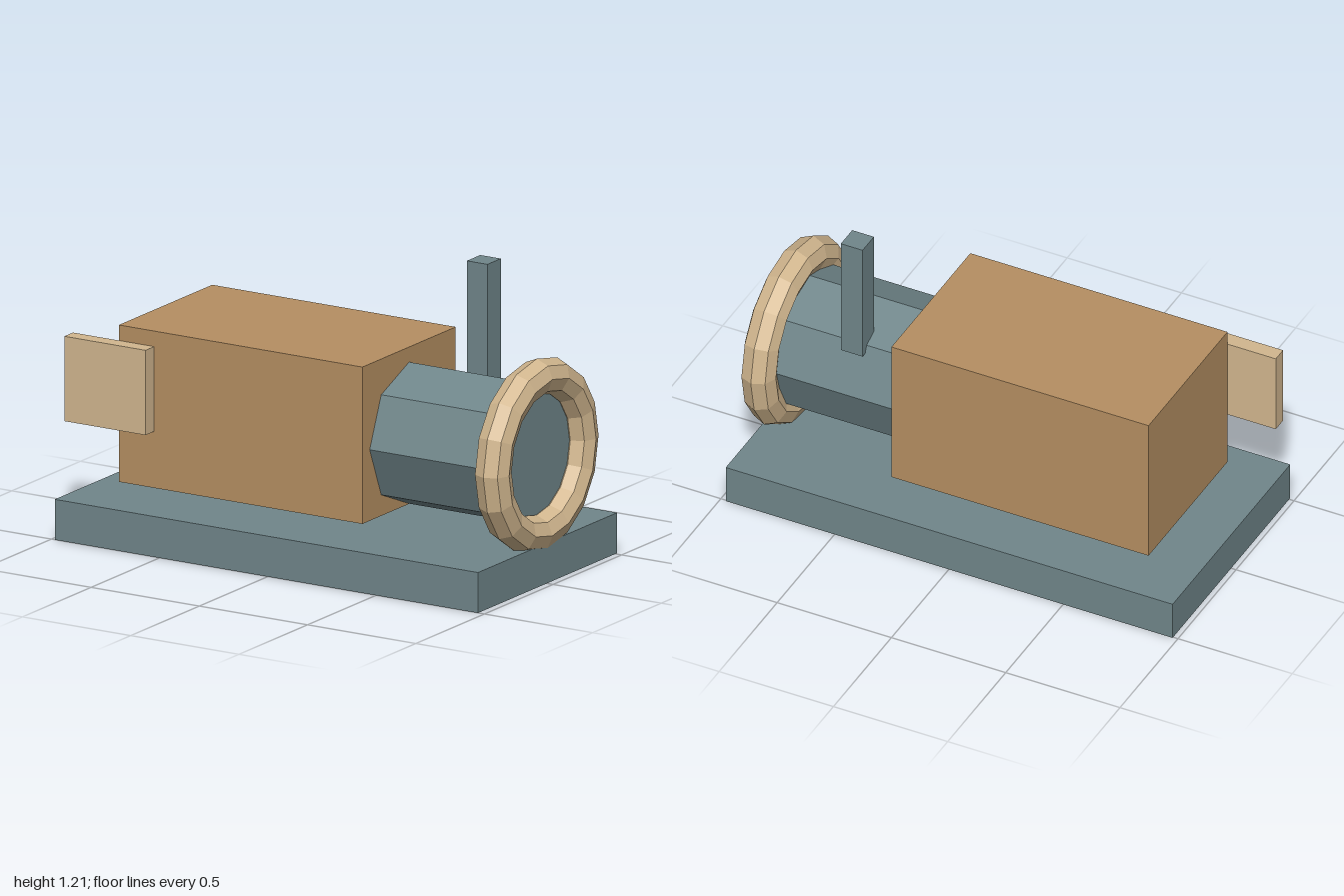
import * as THREE from 'three';

const paint = (color) => new THREE.MeshStandardMaterial({ color, flatShading: true });

export function createModel() {
  const model = new THREE.Group();
  const slate = paint(0x70868a);
  const brown = paint(0xb58f62);
  const tan = paint(0xd2b78f);
  const dark = paint(0x24292b);

  const add = (name, geometry, material, x, y, z) => {
    const mesh = new THREE.Mesh(geometry, material);
    mesh.name = name;
    mesh.position.set(x, y, z);
    model.add(mesh);
    return mesh;
  };
  // Box given by its lower and upper corners
  const box = (name, material, [x0, y0, z0], [x1, y1, z1]) =>
    add(name, new THREE.BoxGeometry(x1 - x0, y1 - y0, z1 - z0), material,
      (x0 + x1) / 2, (y0 + y1) / 2, (z0 + z1) / 2);

  // Base slab with two dark pads set into its underside
  box('base', slate, [-0.98, 0.002, -0.507], [0.975, 0.166, 0.507]);
  for (const x of [-0.69, 0.75]) {
    box('basePad', dark, [x - 0.11, 0, -0.26], [x + 0.11, 0.05, -0.05]);
  }

  // Main housing and the plate on its front
  box('housing', brown, [-0.79, 0.226, -0.34], [0.335, 0.862, 0.34]);
  box('sidePlate', tan, [-1, 0.456, 0.343], [-0.625, 0.8, 0.406]);

  // Eight-sided barrel along x, corners at top and sides
  const barrel = new THREE.CylinderGeometry(0.287, 0.287, 0.62, 8);
  barrel.rotateZ(-Math.PI / 2);
  add('barrel', barrel, slate, 0.61, 0.514, 0);

  // Ring around the barrel mouth
  const ring = new THREE.TorusGeometry(0.317, 0.073, 8, 16);
  ring.rotateY(Math.PI / 2);
  add('mouthRing', ring, tan, 0.925, 0.514, 0);

  // Upright lever at the back of the barrel
  box('lever', slate, [0.513, 0.685, -0.238], [0.608, 1.205, -0.14]);

  return model;
}
